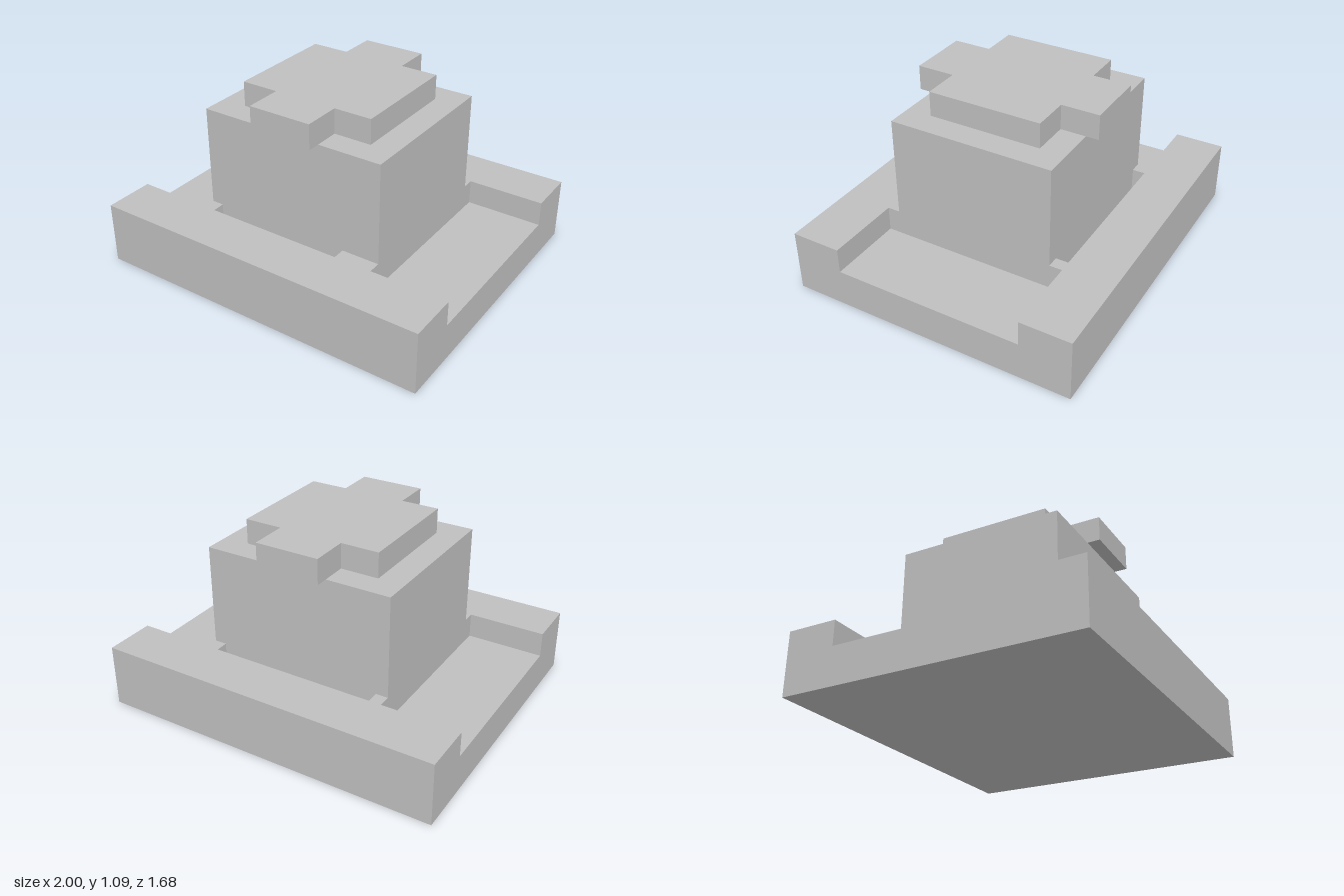
import * as THREE from 'three';

const FLOOR = 0.218, RIM = 0.362, BODY = 0.942, TOP = 1.085; // heights
const HX = 1, HZ = 0.84;        // base half sizes
const BX = 0.554, BZ = 0.475;   // body half sizes
const CZ = 0.548;               // half width of the channel and of the cap

// Extrude an outline given as [x, z] pairs between two heights.
function slab(name, outline, y0, y1, material) {
  const shape = new THREE.Shape(outline.map(([x, z]) => new THREE.Vector2(x, -z)));
  const geo = new THREE.ExtrudeGeometry(shape, { depth: y1 - y0, bevelEnabled: false });
  geo.rotateX(-Math.PI / 2);
  geo.translate(0, y0, 0);
  const mesh = new THREE.Mesh(geo, material);
  mesh.name = name;
  return mesh;
}

function box(name, hx, hz, y0, y1, material) {
  const mesh = new THREE.Mesh(new THREE.BoxGeometry(hx * 2, y1 - y0, hz * 2), material);
  mesh.position.y = (y0 + y1) / 2;
  mesh.name = name;
  return mesh;
}

// Raised rim along one side (s = 1 front, -1 back) with two tabs reaching the body.
function rim(name, s, slotLeft, slotRight, material) {
  const outline = [
    [-HX, HZ], [HX, HZ], [HX, CZ], [BX, CZ], [BX, BZ], [slotRight, BZ], [slotRight, CZ],
    [slotLeft, CZ], [slotLeft, BZ], [-BX, BZ], [-BX, CZ], [-HX, CZ],
  ].map(([x, z]) => [x, z * s]);
  return slab(name, outline, FLOOR, RIM, material);
}

export function createModel() {
  const grey = new THREE.MeshStandardMaterial({ color: 0xbfbfbf });
  grey.name = 'plain grey';

  const group = new THREE.Group();
  group.name = 'steppedBlock';

  // Base plate with a channel between two rims
  group.add(box('basePlate', HX, HZ, 0, FLOOR, grey));
  group.add(rim('frontRim', 1, -0.484, 0.334, grey));
  group.add(rim('backRim', -1, -0.484, 0.484, grey));

  // Central body
  group.add(box('body', BX, BZ, FLOOR, BODY, grey));

  // Cross-shaped cap, its narrow arms overhang the body
  const ax = 0.185, cx = 0.404, cz = 0.329;
  group.add(slab('crossCap', [
    [-ax, CZ], [ax, CZ], [ax, cz], [cx, cz], [cx, -cz], [ax, -cz],
    [ax, -CZ], [-ax, -CZ], [-ax, -cz], [-cx, -cz], [-cx, cz], [-ax, cz],
  ], BODY, TOP, grey));

  return group;
}
